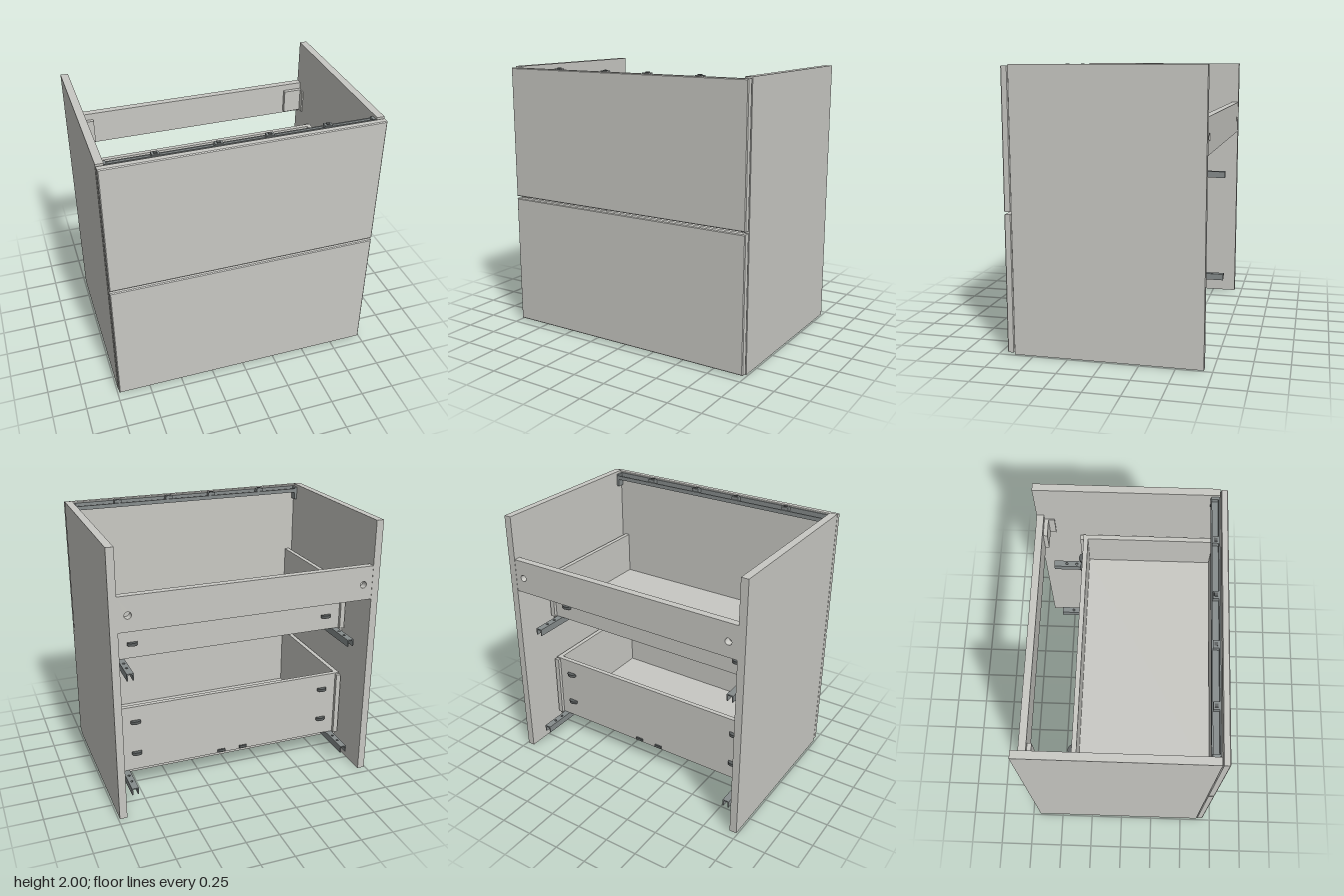
import * as THREE from 'three';

const body = new THREE.MeshStandardMaterial({ color: 0xc8c8c3 });
body.name = 'panel light grey';
const metal = new THREE.MeshStandardMaterial({ color: 0x868c8c });
metal.name = 'metal grey';
const dark = new THREE.MeshStandardMaterial({ color: 0x5c6060 });
dark.name = 'fitting dark grey';

// Box given by its extents on each axis
function box(parent, name, mat, x0, x1, y0, y1, z0, z1) {
  const mesh = new THREE.Mesh(new THREE.BoxGeometry(Math.abs(x1 - x0), y1 - y0, z1 - z0), mat);
  mesh.position.set((x0 + x1) / 2, (y0 + y1) / 2, (z0 + z1) / 2);
  mesh.name = name;
  parent.add(mesh);
  return mesh;
}

// Rectangular plate with round holes, extruded along its local z
function plate(w, h, depth, holes, r) {
  const s = new THREE.Shape();
  s.moveTo(-w / 2, -h / 2);
  s.lineTo(w / 2, -h / 2);
  s.lineTo(w / 2, h / 2);
  s.lineTo(-w / 2, h / 2);
  s.closePath();
  for (const [x, y] of holes) {
    const p = new THREE.Path();
    p.absarc(x, y, r, 0, Math.PI * 2, true);
    s.holes.push(p);
  }
  return new THREE.ExtrudeGeometry(s, { depth, bevelEnabled: false, curveSegments: 12 });
}

// Front panel with a fine bevel round its visible edges
function frontPanel(parent, name, y0, y1) {
  const b = 0.006, w = 1.976 - 2 * b, h = y1 - y0 - 2 * b;
  const s = new THREE.Shape();
  s.moveTo(-w / 2, -h / 2);
  s.lineTo(w / 2, -h / 2);
  s.lineTo(w / 2, h / 2);
  s.lineTo(-w / 2, h / 2);
  s.closePath();
  const geo = new THREE.ExtrudeGeometry(s, {
    depth: 0.05 - 2 * b, bevelEnabled: true, bevelSize: b, bevelThickness: b, bevelSegments: 1,
  });
  const mesh = new THREE.Mesh(geo, body);
  mesh.position.set(0, (y0 + y1) / 2, 0.64 + b);
  mesh.name = name;
  parent.add(mesh);
}

// Drawer box with runners; y is the underside of the floor, top the rim height
function drawer(name, y, top, clipHeights) {
  const g = new THREE.Group();
  g.name = name;
  box(g, 'drawerFloor', body, -0.876, 0.876, y, y + 0.03, -0.316, 0.638);
  box(g, 'drawerBack', body, -0.876, 0.876, y, top, -0.35, -0.315);
  for (const s of [-1, 1]) {
    box(g, 'drawerSide', body, s * 0.875, s * 0.91, y - 0.03, top, -0.35, 0.638);
    box(g, 'backBracket', body, s * 0.875, s * 0.912, y, top - 0.01, -0.375, -0.35);

    // Runner channel under the drawer, open below
    const web = new THREE.Mesh(
      plate(0.05, 1.2, 0.008, [[0, -0.5], [0, -0.42]], 0.01), metal);
    web.rotation.x = Math.PI / 2;
    web.position.set(s * 0.845, y - 0.002, 0);
    web.name = 'runnerTop';
    g.add(web);
    for (const x of [0.82, 0.862]) {
      box(g, 'runnerWall', metal, s * x, s * (x + 0.008), y - 0.055, y - 0.01, -0.6, 0.6);
    }
    // Fixed runner on the cabinet wall
    box(g, 'wallRunner', metal, s * 0.913, s * 0.935, y - 0.06, y + 0.03, -0.19, 0.6);
    box(g, 'runnerLip', metal, s * 0.87, s * 0.935, y - 0.07, y - 0.06, -0.19, 0.6);
    for (const z of [-0.06, 0.35]) {
      box(g, 'runnerScrew', dark, s * 0.911, s * 0.934, y + 0.03, y + 0.04, z - 0.02, z + 0.02);
    }
    // Front coupling under the floor
    box(g, 'runnerCatch', dark, s * 0.78, s * 0.87, y - 0.04, y - 0.012, 0.5, 0.62);

    // Oval clips on the back
    for (const cy of clipHeights) {
      const clip = new THREE.Mesh(new THREE.CylinderGeometry(0.038, 0.038, 0.022, 20), dark);
      clip.scale.z = 0.8;
      clip.position.set(s * 0.76, cy, -0.352);
      clip.name = 'backClip';
      g.add(clip);
    }
  }
  return g;
}

export function createModel() {
  const model = new THREE.Group();
  model.name = 'drawerCabinet';

  // Carcass
  for (const s of [-1, 1]) {
    box(model, 'sidePanel', body, s * 0.935, s * 0.99, 0, 2, -0.69, 0.636);
  }
  box(model, 'bottomPanel', body, -0.935, 0.935, 0, 0.055, -0.11, 0.636);
  const rail = new THREE.Mesh(
    plate(1.87, 0.25, 0.053, [[-0.865, -0.01], [0.865, -0.01]], 0.025), body);
  rail.position.set(0, 1.545, -0.688);
  rail.name = 'backRail';
  model.add(rail);

  // Hanging brackets and bottom screws
  for (const s of [-1, 1]) {
    box(model, 'hangingBracket', body, s * 0.79, s * 0.933, 1.44, 1.62, -0.635, -0.605);
    box(model, 'bracketFlange', body, s * 0.924, s * 0.934, 1.44, 1.62, -0.61, -0.56);
    const screw = new THREE.Mesh(new THREE.CylinderGeometry(0.022, 0.022, 0.006, 16), dark);
    screw.position.set(s * 0.9, 0, 0.5);
    screw.position.y = 0.001;
    screw.name = 'bottomScrew';
    model.add(screw);
  }

  // Stiffening channel behind the top front
  box(model, 'topChannelBase', metal, -0.93, 0.93, 1.94, 1.95, 0.57, 0.632);
  box(model, 'topChannelFront', metal, -0.93, 0.93, 1.94, 1.985, 0.622, 0.632);
  box(model, 'topChannelBack', metal, -0.93, 0.93, 1.94, 1.97, 0.57, 0.58);
  for (const s of [-1, 1]) {
    box(model, 'channelEndBracket', metal, s * 0.915, s * 0.935, 1.88, 1.98, 0.575, 0.63);
  }
  for (const x of [-0.6, -0.18, 0.175, 0.59]) {
    box(model, 'channelClip', metal, x - 0.027, x + 0.027, 1.95, 1.992, 0.58, 0.622);
    box(model, 'clipTab', dark, x - 0.012, x + 0.012, 1.992, 1.998, 0.588, 0.612);
  }

  // Drawers
  frontPanel(model, 'lowerFront', 0.012, 0.993);
  frontPanel(model, 'upperFront', 1.01, 1.99);
  model.add(drawer('upperDrawer', 1.08, 1.44, [1.19, 1.34]));
  const lower = drawer('lowerDrawer', 0.17, 0.69, [0.31, 0.57]);
  for (const x of [-0.09, 0.09]) {
    box(lower, 'floorClip', dark, x - 0.03, x + 0.03, 0.18, 0.2, -0.362, -0.35);
  }
  model.add(lower);
  return model;
}
